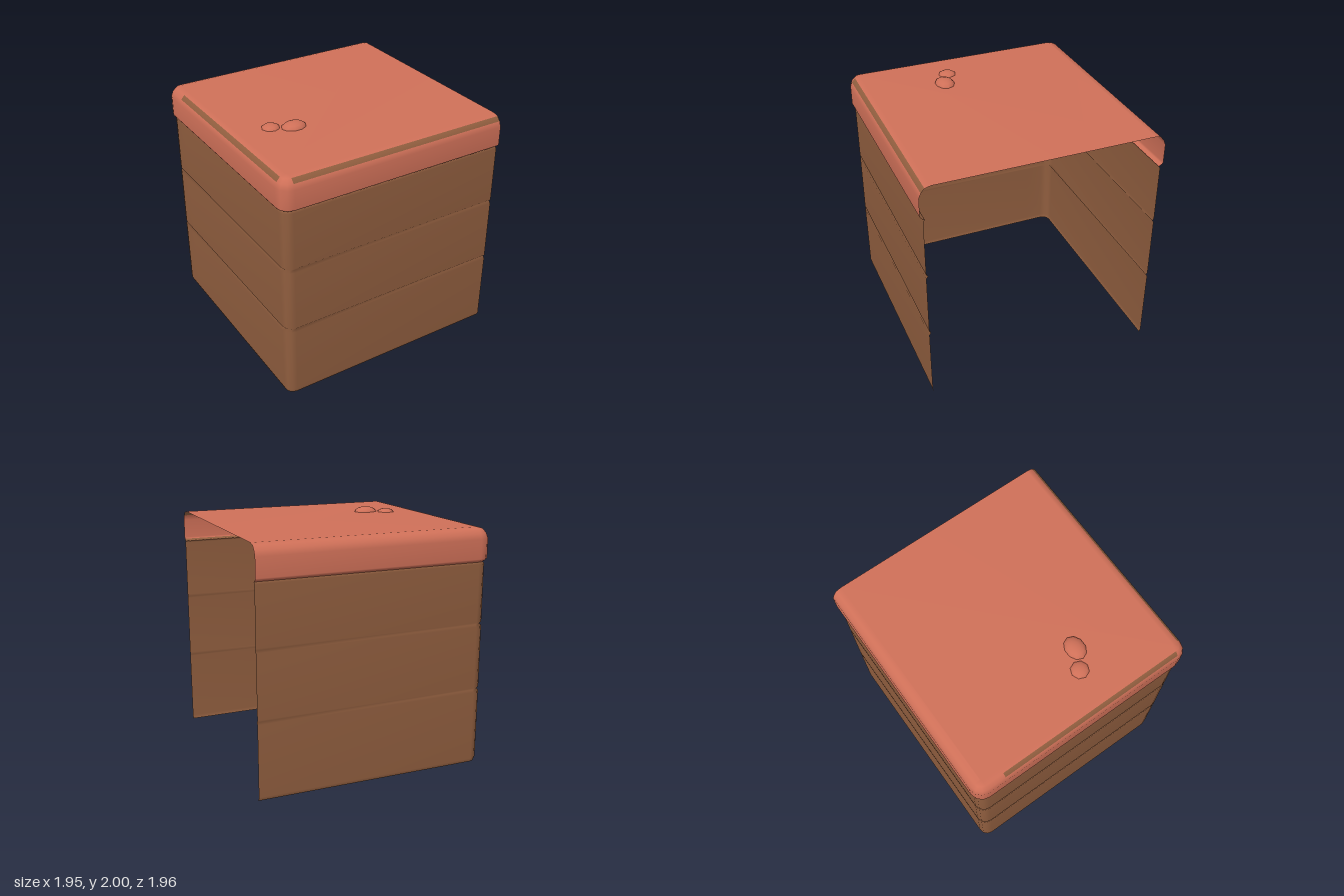
import * as THREE from 'three';

const END = 0.977;    // open side of the shell
const CORNER = 0.875; // centre of the rounded corners
const STEPS = 3;      // facets per rounded corner

const wood = new THREE.MeshStandardMaterial({ color: 0x8f5d3e, side: THREE.DoubleSide });
wood.name = 'brown wood';
const coral = new THREE.MeshStandardMaterial({ color: 0xcf7058, side: THREE.DoubleSide });
coral.name = 'coral lid';

// U-shaped outline at distance d from the middle: back, left side, front
function outline(d) {
  const r = d - CORNER, pts = [[END, -d]];
  for (let i = 0; i <= STEPS; i++) {
    const a = (i / STEPS) * Math.PI / 2;
    pts.push([-CORNER - r * Math.sin(a), -CORNER - r * Math.cos(a)]);
  }
  pts.push([-d, -0.72]); // the brown trim on the side starts here
  for (let i = 0; i <= STEPS; i++) {
    const a = (i / STEPS) * Math.PI / 2;
    pts.push([-CORNER - r * Math.cos(a), CORNER + r * Math.sin(a)]);
  }
  pts.push([END, d]);
  return pts;
}

// Skin a [distance, height] profile along the outline; isTrim picks the second material
function shell(profile, isTrim, capped) {
  const positions = [], main = [], trim = [];
  for (const [d, y] of profile) for (const [x, z] of outline(d)) positions.push(x, y, z);
  const n = outline(1).length;
  for (let k = 0; k < profile.length - 1; k++) {
    for (let j = 0; j < n - 1; j++) {
      const a = k * n + j;
      (isTrim(k, j) ? trim : main).push(a, a + 1, a + n + 1, a, a + n + 1, a + n);
    }
  }
  if (capped) {
    const s = (profile.length - 1) * n;
    for (let j = 1; j < n - 1; j++) main.push(s, s + j, s + j + 1);
  }
  const g = new THREE.BufferGeometry();
  g.setAttribute('position', new THREE.Float32BufferAttribute(positions, 3));
  g.setIndex([...main, ...trim]);
  g.addGroup(0, main.length, 0);
  if (trim.length) g.addGroup(main.length, trim.length, 1);
  g.computeVertexNormals();
  return g;
}

export function createModel() {
  const model = new THREE.Group();
  const add = (name, geometry, material) => {
    const mesh = new THREE.Mesh(geometry, material);
    mesh.name = name;
    model.add(mesh);
    return mesh;
  };

  // Three stacked wall courses with pinched joints
  const wallProfile = [[0.94, 0], [0.952, 0.03]];
  for (const y of [0.63, 1.18]) {
    wallProfile.push([0.955, y - 0.018], [0.942, y], [0.955, y + 0.018]);
  }
  wallProfile.push([0.955, 1.67], [0.942, 1.687]);
  add('walls', shell(wallProfile, () => false, false), [wood]);

  // Lid: turned-in lip, upright band, rounded shoulder, flat top
  const lidProfile = [
    [0.942, 1.685], [0.97, 1.702], [0.978, 1.715], [0.978, 1.87],
    [0.962, 1.912], [0.933, 1.945], [0.885, 1.957],
  ];
  const side = 2 + STEPS, front = 3 + 2 * STEPS;
  const lidTrim = (k, j) => (k === 0 && j >= side) || (k === 4 && (j === side || j === front));
  add('lid', shell(lidProfile, lidTrim, true), [coral, wood]);

  // Two low bumps on the lid
  const bumps = [
    ['smallBump', -0.632, 0.195, 0.076, 0.038, 0.076, 8],
    ['largeBump', -0.473, 0.272, 0.105, 0.052, 0.082, 10],
  ];
  for (const [name, x, z, rx, ry, rz, sides] of bumps) {
    const dome = new THREE.SphereGeometry(1, sides, 4, 0, Math.PI * 2, 0, Math.PI / 2);
    const bump = add(name, dome, coral);
    bump.position.set(x, 1.948, z);
    bump.scale.set(rx, ry, rz);
  }
  return model;
}
